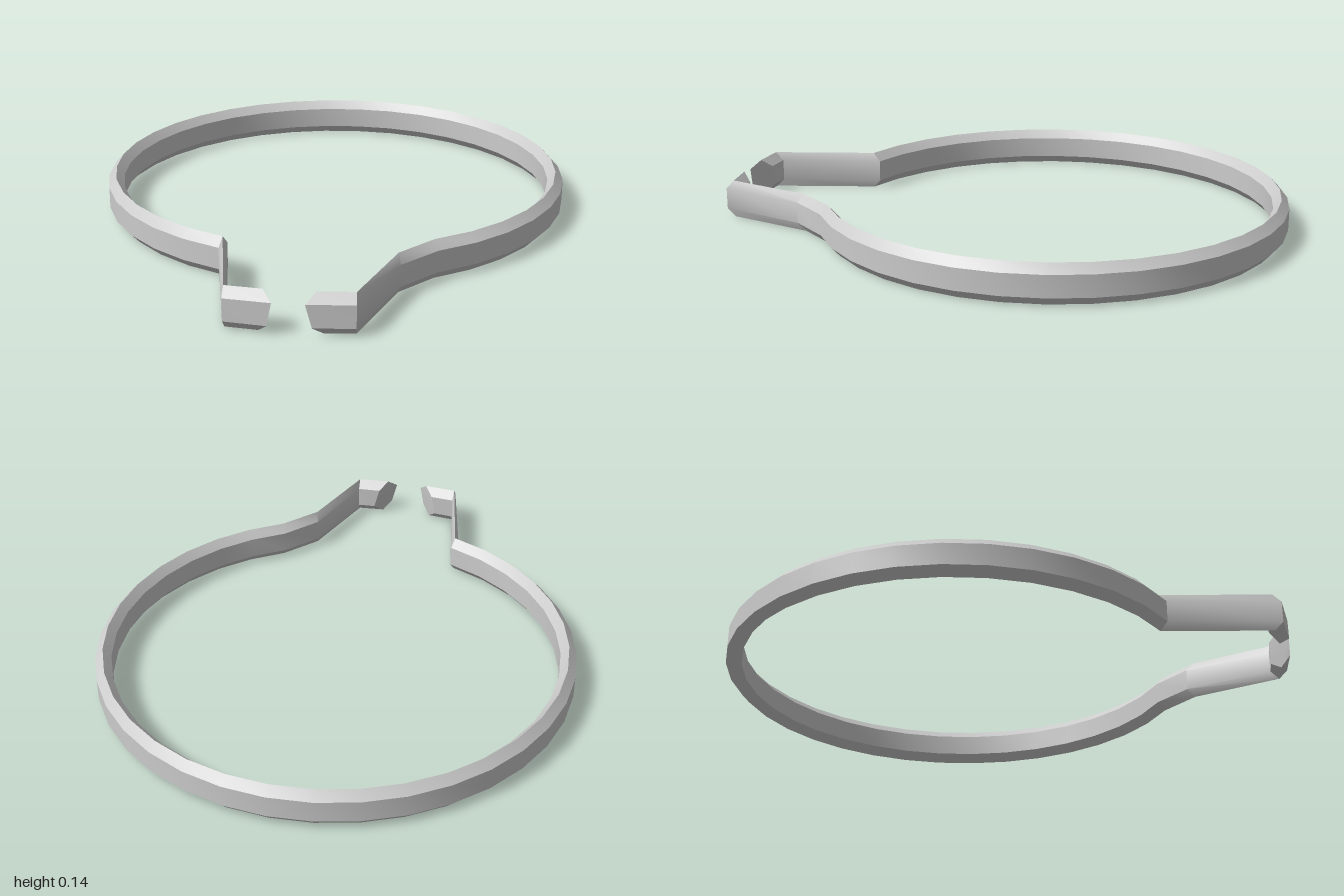
import * as THREE from 'three';
import { toCreasedNormals } from 'three/addons/utils/BufferGeometryUtils.js';

const HEIGHT = 0.135, LOW = 0.03, HIGH = 0.105;
const OUTER = 0.83, INNER = 0.775, CENTRE_Z = -0.17;

// Six-sided cross-section spanning an outer and an inner plan point [x, z].
// skew slides the lower half along x.
function section([ox, oz], [ix, iz], skew = 0) {
  const mx = (ox + ix) / 2, mz = (oz + iz) / 2;
  return [
    [ox, HIGH, oz], [mx, HEIGHT, mz], [ix, HIGH, iz],
    [ix + skew, LOW, iz], [mx + skew, 0, mz], [ox + skew, LOW, oz],
  ];
}

// Join consecutive sections with quads and close both ends.
function loft(sections) {
  const pos = [];
  const tri = (a, b, c) => pos.push(...a, ...b, ...c);
  const n = sections[0].length;
  for (let i = 0; i < sections.length - 1; i++) {
    const s = sections[i], t = sections[i + 1];
    for (let j = 0; j < n; j++) {
      const k = (j + 1) % n;
      tri(s[j], s[k], t[k]);
      tri(s[j], t[k], t[j]);
    }
  }
  const first = sections[0], last = sections[sections.length - 1];
  for (let j = 1; j < n - 1; j++) {
    tri(first[0], first[j + 1], first[j]);
    tri(last[0], last[j], last[j + 1]);
  }
  const geometry = new THREE.BufferGeometry();
  geometry.setAttribute('position', new THREE.Float32BufferAttribute(pos, 3));
  return toCreasedNormals(geometry, 0.6);
}

export function createModel() {
  const group = new THREE.Group();
  group.name = 'springClip';
  const sections = [];

  // Right-hand hooked tip and leg foot
  sections.push(section([-0.05, 1.0], [-0.11, 0.935], -0.015));
  sections.push(section([-0.2, 0.985], [-0.198, 0.927]));

  // Round hoop, every ten degrees, from the sharp corner around the back
  for (let deg = -160; deg <= 150; deg += 10) {
    const a = THREE.MathUtils.degToRad(deg);
    const at = (r) => [r * Math.sin(a), CENTRE_Z - r * Math.cos(a)];
    sections.push(section(at(OUTER), at(INNER)));
  }

  // Left-hand soft bend, leg foot and hooked tip
  sections.push(section([0.305, 0.675], [0.287, 0.622]));
  sections.push(section([0.2, 0.985], [0.195, 0.927]));
  sections.push(section([0.05, 1.0], [0.11, 0.932], 0.02));

  const band = new THREE.Mesh(loft(sections), new THREE.MeshStandardMaterial({ color: 0xcccccc }));
  band.name = 'openRingBand';
  group.add(band);
  return group;
}
